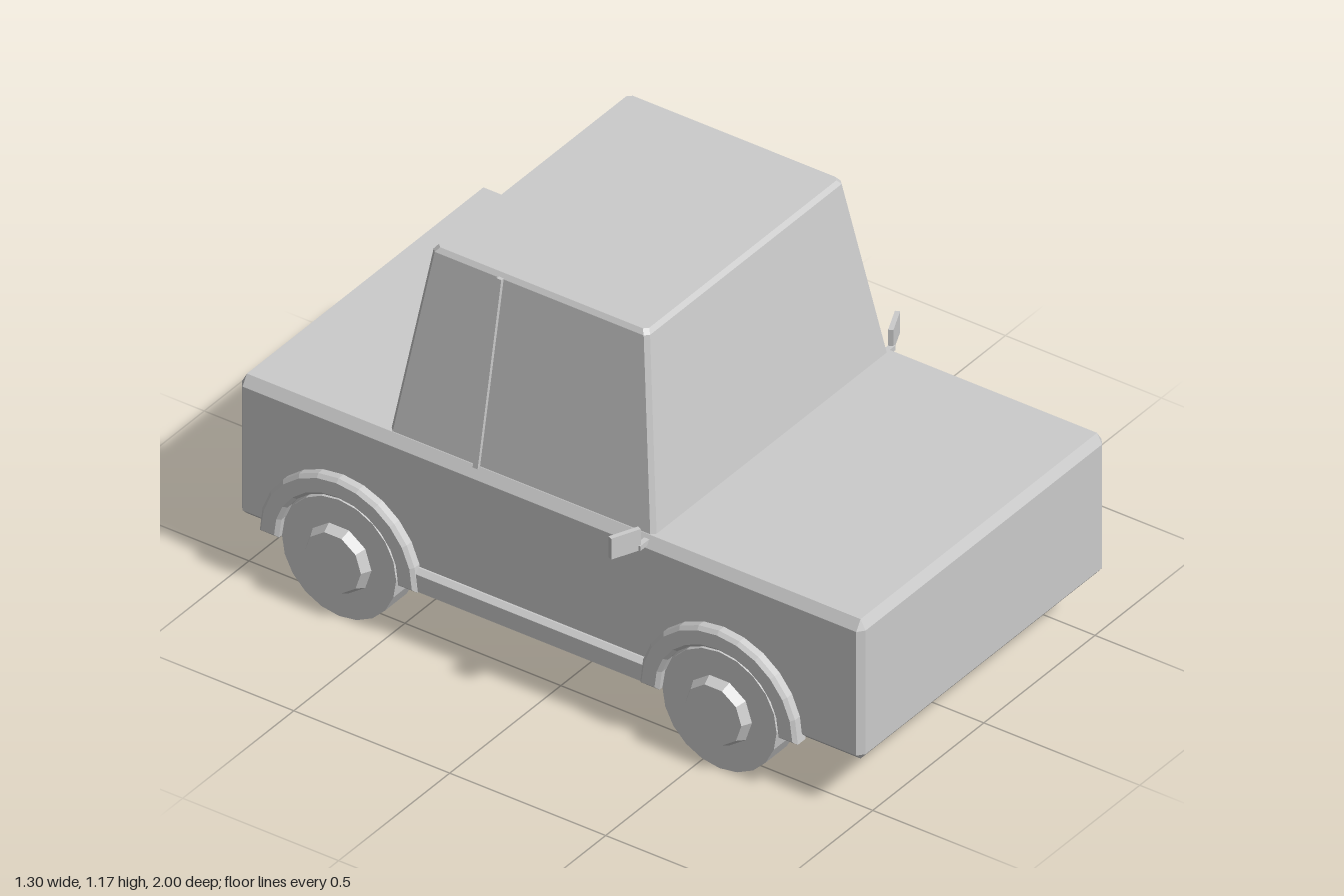
import * as THREE from 'three';
import { ConvexGeometry } from 'three/addons/geometries/ConvexGeometry.js';

const material = new THREE.MeshStandardMaterial({ color: 0xcccccc, flatShading: true });
const FRONT_AXLE = 0.56, REAR_AXLE = -0.66, AXLE_Y = 0.183;

function add(parent, name, geometry, x = 0, y = 0, z = 0) {
  const mesh = new THREE.Mesh(geometry, material);
  mesh.name = name;
  mesh.position.set(x, y, z);
  parent.add(mesh);
  return mesh;
}

// Box with every edge chamfered
function chamferedBox(hx, y0, y1, hz, cx, cTop, cBottom, cz) {
  const points = [];
  for (const sx of [-1, 1]) for (const sz of [-1, 1]) for (const top of [false, true]) {
    const y = top ? y1 : y0;
    const yIn = top ? y1 - cTop : y0 + cBottom;
    points.push(
      new THREE.Vector3(sx * hx, yIn, sz * (hz - cz)),
      new THREE.Vector3(sx * (hx - cx), y, sz * (hz - cz)),
      new THREE.Vector3(sx * (hx - cx), yIn, sz * hz));
  }
  return new ConvexGeometry(points);
}

// Tapered cabin from stacked rectangles: [y, half width, front z, back z]
function cabinGeometry() {
  const c = 0.012;
  const points = [];
  for (const [y, hx, front, back] of [[0.6, 0.532, 0.322, -0.532], [1.162, 0.443, 0.237, -0.457], [1.175, 0.433, 0.227, -0.447]]) {
    for (const s of [-1, 1]) for (const [z, d] of [[front, -1], [back, 1]]) {
      points.push(new THREE.Vector3(s * (hx - c), y, z), new THREE.Vector3(s * hx, y, z + d * c));
    }
  }
  return new ConvexGeometry(points);
}

// Arch trim in the (z, y) plane, extruded outward along x with a chamfered rim
function archGeometry() {
  const shape = new THREE.Shape();
  const n = 12, outer = 0.242, inner = 0.2;
  for (let i = 0; i <= n; i++) {
    const a = Math.PI * i / n;
    const x = outer * Math.cos(a), y = outer * Math.sin(a);
    i ? shape.lineTo(x, y) : shape.moveTo(x, y);
  }
  for (let i = n; i >= 0; i--) {
    const a = Math.PI * i / n;
    shape.lineTo(inner * Math.cos(a), inner * Math.sin(a));
  }
  const g = new THREE.ExtrudeGeometry(shape, {
    depth: 0.035, bevelEnabled: true, bevelSegments: 1, bevelSize: 0.01, bevelThickness: 0.01,
  });
  return g.rotateY(Math.PI / 2);
}

// Parts of the left (+x) side
function sideParts() {
  const side = new THREE.Group();

  for (const [label, z] of [['front', FRONT_AXLE], ['rear', REAR_AXLE]]) {
    add(side, label + 'Tyre', new THREE.CylinderGeometry(0.183, 0.183, 0.096, 20).rotateZ(-Math.PI / 2), 0.52, AXLE_Y, z);
    add(side, label + 'Hub', new THREE.CylinderGeometry(0.09, 0.105, 0.03, 10).rotateZ(-Math.PI / 2), 0.581, AXLE_Y, z);
    add(side, label + 'ArchTrim', archGeometry(), 0.535, 0.183, z);
  }

  // Sill between the arches, chamfered along its top
  const sill = new THREE.Shape([[0.53, 0.175], [0.568, 0.175], [0.568, 0.228], [0.553, 0.24], [0.53, 0.24]]
    .map(([x, y]) => new THREE.Vector2(x, y)));
  const start = REAR_AXLE + 0.22, end = FRONT_AXLE - 0.22;
  add(side, 'sill', new THREE.ExtrudeGeometry(sill, { depth: end - start, bevelEnabled: false }), 0, 0, start);

  // Window pillar following the cabin slope
  const foot = new THREE.Vector3(0.53, 0.61, -0.246), head = new THREE.Vector3(0.443, 1.165, -0.232);
  const pillar = add(side, 'windowPillar', new THREE.BoxGeometry(0.014, foot.distanceTo(head), 0.016));
  pillar.position.copy(foot).lerp(head, 0.5);
  pillar.quaternion.setFromUnitVectors(new THREE.Vector3(0, 1, 0), head.clone().sub(foot).normalize());

  // Door mirror
  add(side, 'mirrorArm', new THREE.BoxGeometry(0.06, 0.015, 0.016), 0.545, 0.598, 0.303);
  const mirror = add(side, 'mirrorHead', new THREE.BoxGeometry(0.09, 0.066, 0.014), 0.607, 0.623, 0.284);
  mirror.rotation.y = 0.42;
  return side;
}

// Reflect geometry across x, keeping the faces outward
function mirrored(side) {
  const copy = new THREE.Group();
  for (const part of side.children) {
    part.updateMatrix();
    let g = part.geometry.clone().applyMatrix4(part.matrix);
    if (g.index) g = g.toNonIndexed();
    g.scale(-1, 1, 1);
    for (const attribute of Object.values(g.attributes)) {
      const size = attribute.itemSize, a = attribute.array;
      for (let i = 0; i < a.length; i += size * 3) {
        for (let k = 0; k < size; k++) {
          const t = a[i + size + k];
          a[i + size + k] = a[i + 2 * size + k];
          a[i + 2 * size + k] = t;
        }
      }
    }
    g.computeVertexNormals();
    add(copy, part.name, g);
  }
  return copy;
}

export function createModel() {
  const car = new THREE.Group();
  car.name = 'car';

  add(car, 'body', chamferedBox(0.552, 0.175, 0.615, 1, 0.02, 0.03, 0.02, 0.016));
  add(car, 'cabin', cabinGeometry());

  const left = sideParts();
  left.name = 'leftSide';
  const right = mirrored(left);
  right.name = 'rightSide';
  // The running gear sits slightly off centre
  left.position.x = -0.006;
  right.position.x = -0.004;
  car.add(left, right);
  return car;
}
